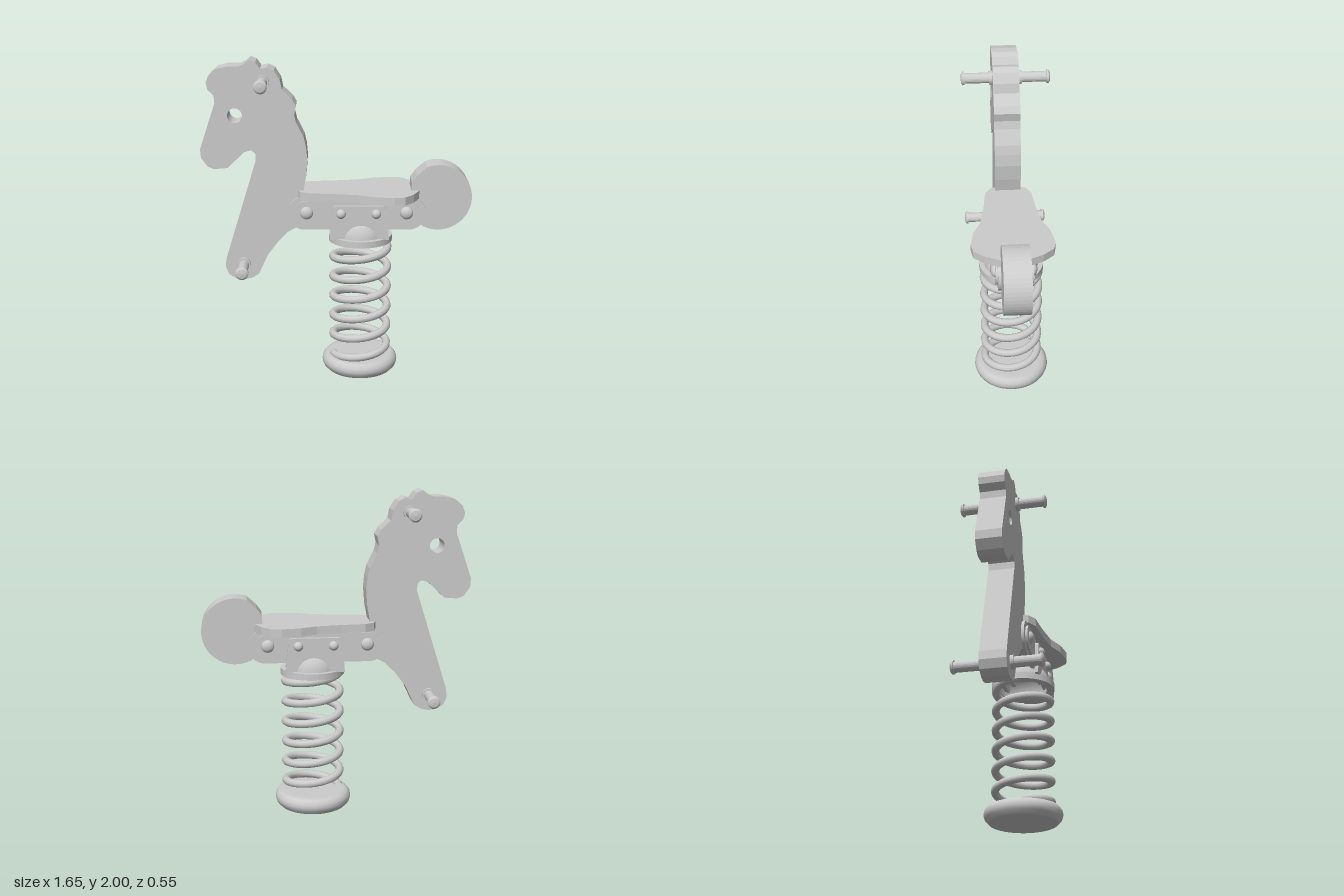
import * as THREE from 'three';

const grey = new THREE.MeshStandardMaterial({ color: 0xcccccc });
const greyDouble = new THREE.MeshStandardMaterial({ color: 0xcccccc, side: THREE.DoubleSide });
const SPRING_X = 0.146;

function add(parent, name, geometry, material = grey) {
  const mesh = new THREE.Mesh(geometry, material);
  mesh.name = name;
  parent.add(mesh);
  return mesh;
}

const vectors = (points) => points.map(([x, y]) => new THREE.Vector2(x, y));

function extrude(shape, z0, z1) {
  const depth = z1 - z0;
  return new THREE.ExtrudeGeometry(shape, { depth, bevelEnabled: false, curveSegments: 16 }).translate(0, 0, z0);
}

// Horizontal capsule outline between two end centres
function capsule(x0, x1, y, r) {
  const shape = new THREE.Shape();
  shape.absarc(x1, y, r, -Math.PI / 2, Math.PI / 2, false);
  shape.absarc(x0, y, r, Math.PI / 2, Math.PI * 1.5, false);
  shape.closePath();
  return shape;
}

// Horse-shaped board: neck, head, foreleg, belly strip and round tail
function boardGeometry() {
  const shape = new THREE.Shape(vectors([
    [-0.2, 1.15], [-0.205, 1.2], [-0.188, 1.29], [-0.18, 1.395], [-0.187, 1.47], [-0.2, 1.53],
    [-0.245, 1.62], [-0.257, 1.67], [-0.246, 1.725], [-0.27, 1.765], [-0.328, 1.82], [-0.34, 1.88],
    [-0.375, 1.935], [-0.415, 1.955], [-0.457, 1.945], [-0.484, 1.985], [-0.52, 2], [-0.55, 1.975],
    [-0.585, 1.96], [-0.65, 1.96], [-0.717, 1.945], [-0.763, 1.905], [-0.78, 1.86], [-0.77, 1.82],
    [-0.735, 1.785], [-0.732, 1.74], [-0.828, 1.46], [-0.825, 1.405], [-0.787, 1.352], [-0.748, 1.335],
    [-0.665, 1.342], [-0.615, 1.39], [-0.562, 1.44], [-0.52, 1.453], [-0.495, 1.43], [-0.495, 1.385],
    [-0.69, 0.76], [-0.696, 0.705], [-0.675, 0.655], [-0.627, 0.628], [-0.585, 0.622], [-0.53, 0.633],
    [-0.488, 0.66], [-0.468, 0.705], [-0.43, 0.785], [-0.363, 0.875], [-0.3, 0.938], [-0.23, 0.975],
    [-0.1, 0.985], [0.42, 0.985], [0.52, 0.98],
  ]));
  shape.absarc(0.622, 1.155, 0.205, -2.05, 1.95, false);
  for (const [x, y] of [[0.49, 1.295], [0.457, 1.25], [0.455, 1.2], [0.465, 1.15]]) shape.lineTo(x, y);
  shape.closePath();
  const eye = new THREE.Path();
  eye.absarc(-0.614, 1.664, 0.045, 0, Math.PI * 2, true);
  shape.holes.push(eye);
  return extrude(shape, -0.08, 0.08);
}

// Seat outline, mirrored about the long axis
function seatGeometry() {
  const half = [
    [-0.247, 0.06], [-0.225, 0.112], [-0.17, 0.145], [-0.02, 0.16], [0.13, 0.185], [0.23, 0.23],
    [0.345, 0.25], [0.41, 0.237], [0.465, 0.17], [0.5, 0.09], [0.52, 0.03],
  ];
  const mirrored = half.map(([x, z]) => [x, -z]).reverse();
  const shape = new THREE.Shape(vectors([...half, ...mirrored]));
  return extrude(shape, 0, 0.05).rotateX(-Math.PI / 2).translate(0, 1.15, 0);
}

// Peg profile along its axis, from the board outward
function pegGeometry() {
  return new THREE.LatheGeometry(vectors([
    [0.042, 0.075], [0.042, 0.1], [0.032, 0.1], [0.032, 0.25],
    [0.041, 0.25], [0.041, 0.262], [0.03, 0.27], [0, 0.274],
  ]), 20).toNonIndexed().rotateX(Math.PI / 2);
}

function boltGeometry(r, h) {
  return new THREE.SphereGeometry(r, 20, 8, 0, Math.PI * 2, 0, Math.PI / 2)
    .scale(1, h / r, 1).rotateX(Math.PI / 2);
}

// Coil descending from the collar to the base
class Coil extends THREE.Curve {
  getPoint(t, target = new THREE.Vector3()) {
    const y = 0.885 - t * 0.785;
    const a = ((0.817 - y) / 0.131) * Math.PI * 2;
    return target.set(SPRING_X + 0.172 * Math.cos(a), y, 0.172 * Math.sin(a));
  }
}

// Fittings on one face of the board, modelled toward +z
function sideFittings() {
  const side = new THREE.Group();
  add(side, 'sidePlate', extrude(capsule(-0.2, 0.44, 1.06, 0.105), 0.075, 0.098));
  add(side, 'raisedPlate', extrude(capsule(-0.187, 0.426, 1.06, 0.08), 0.098, 0.112));
  for (const x of [-0.187, 0.426]) {
    add(side, 'plateBolt', boltGeometry(0.04, 0.026)).position.set(x, 1.066, 0.112);
  }

  // Bracket cheek standing on the collar
  const cheek = new THREE.Shape();
  cheek.moveTo(-0.045, 0.9);
  cheek.lineTo(-0.03, 1.085);
  cheek.quadraticCurveTo(-0.03, 1.115, 0, 1.115);
  cheek.lineTo(0.27, 1.115);
  cheek.quadraticCurveTo(0.3, 1.115, 0.3, 1.085);
  cheek.lineTo(0.32, 0.9);
  add(side, 'bracketCheek', extrude(cheek, 0.112, 0.134));
  for (const x of [0.024, 0.24]) {
    add(side, 'bracketBolt', boltGeometry(0.03, 0.03)).position.set(x, 1.066, 0.134);
  }

  for (const [name, x, y] of [['handlePeg', -0.445, 1.867], ['footPeg', -0.58, 0.725]]) {
    const peg = add(side, name, pegGeometry(), greyDouble);
    peg.geometry.computeVertexNormals();
    peg.position.set(x, y, 0);
  }
  return side;
}

export function createModel() {
  const model = new THREE.Group();
  model.name = 'springRider';

  add(model, 'horseBoard', boardGeometry());
  add(model, 'seat', seatGeometry());

  const front = sideFittings();
  front.name = 'frontFittings';
  const back = sideFittings();
  back.name = 'backFittings';
  back.scale.z = -1;
  model.add(front, back);

  // Hollow dome and collar over the spring
  const dome = [];
  for (let i = 0; i <= 10; i++) {
    const a = (i / 10) * Math.PI / 2;
    dome.push([0.168 * Math.cos(a), 0.895 + 0.16 * Math.sin(a)]);
  }
  add(model, 'mountDome', new THREE.LatheGeometry(vectors(dome), 32), greyDouble).position.x = SPRING_X;
  const ring = new THREE.Shape().absarc(0, 0, 0.198, 0, Math.PI * 2, false);
  ring.holes.push(new THREE.Path().absarc(0, 0, 0.15, 0, Math.PI * 2, true));
  const collar = new THREE.ExtrudeGeometry(ring, { depth: 0.04, bevelEnabled: false, curveSegments: 32 });
  collar.rotateX(-Math.PI / 2);
  add(model, 'collar', collar).position.set(SPRING_X, 0.865, 0);

  // Spring
  add(model, 'spring', new THREE.TubeGeometry(new Coil(), 240, 0.025, 10, false), greyDouble);

  // Rounded foot
  add(model, 'base', new THREE.LatheGeometry(vectors([
    [0, 0], [0.205, 0], [0.21, 0.002], [0.232, 0.025], [0.24, 0.05], [0.236, 0.075],
    [0.22, 0.095], [0.2, 0.101], [0.17, 0.1], [0, 0.1],
  ]), 40)).position.x = SPRING_X;

  return model;
}
